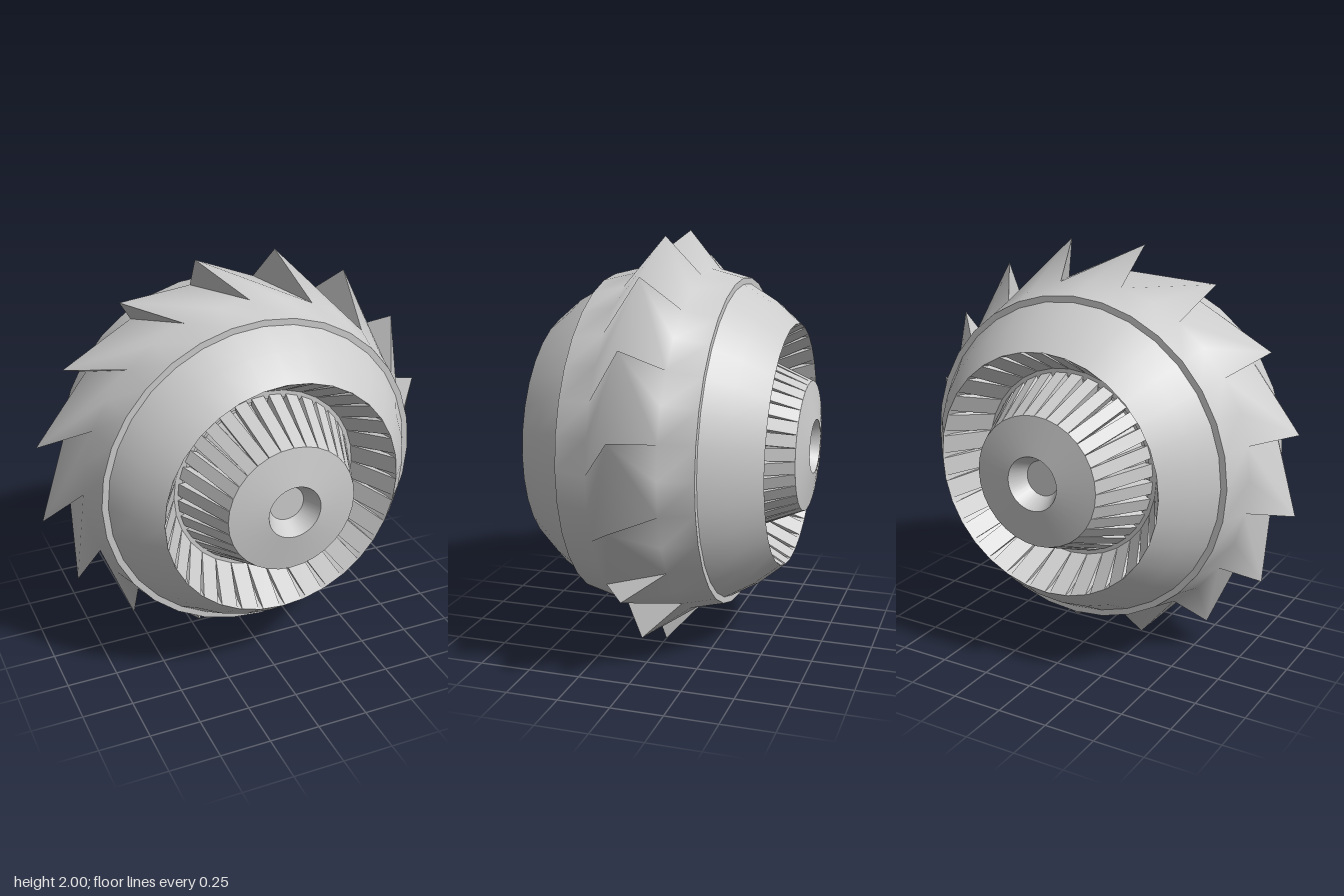
import * as THREE from 'three';
import { mergeGeometries } from 'three/addons/utils/BufferGeometryUtils.js';

const SIDES = 32;
const STEP = (Math.PI * 2) / SIDES;
const material = new THREE.MeshStandardMaterial({ color: 0xcccccc });

function addMesh(parent, name, geometry) {
  const mesh = new THREE.Mesh(geometry, material);
  mesh.name = name;
  parent.add(mesh);
}

// Surface of revolution around z from [radius, z] points
function turned(points) {
  const g = new THREE.LatheGeometry(points.map(([r, z]) => new THREE.Vector2(r, z)), SIDES);
  return g.rotateX(Math.PI / 2);
}

// A ring of flat panels, each a [radius, z] outline given a constant width
function panelRing(outline, width) {
  const shape = new THREE.Shape(outline.map(([r, z]) => new THREE.Vector2(r, z)));
  const panel = new THREE.ExtrudeGeometry(shape, { depth: width, bevelEnabled: false });
  panel.translate(0, 0, -width / 2).rotateX(Math.PI / 2);
  const all = [];
  for (let i = 0; i < SIDES; i++) all.push(panel.clone().rotateZ((i + 0.5) * STEP));
  return mergeGeometries(all);
}

const polar = (r, i, z) => [r * Math.cos(i * STEP), r * Math.sin(i * STEP), z];
const wrap = (i) => (i + SIDES) % SIDES;

// Tread: two sloping bands joined by a ring of skewed pyramid teeth
function addTread(parent) {
  const rings = [[0.795, 0.325], [0.835, 0.165], [0.835, -0.165], [0.795, -0.325]];
  const positions = [], index = [], steep = [];
  for (const [r, z] of rings)
    for (let i = 0; i < SIDES; i++) positions.push(...polar(r, i, z));
  const at = (ring, i) => ring * SIDES + wrap(i);

  for (const ring of [0, 2]) {
    for (let i = 0; i < SIDES; i++) {
      const a = at(ring, i), b = at(ring + 1, i), c = at(ring + 1, i + 1), d = at(ring, i + 1);
      index.push(a, b, c, a, c, d);
    }
  }

  for (let k = 0; k < SIDES / 2; k++) {
    const f = 2 * k, b = f + 1;
    const tip = positions.length / 3;
    positions.push(...polar(1.0196, b, 0));
    // long sides of the tooth, blending into the bands
    const base = [at(1, f), at(1, f - 1), at(1, f - 2), at(2, b - 2), at(2, b - 1), at(2, b)];
    for (let j = 0; j < 5; j++) index.push(base[j], base[j + 1], tip);
    // steep cutting face
    steep.push(...polar(0.835, b, -0.165), ...polar(0.835, f, 0.165), ...polar(1.0196, b, 0));
  }

  const tread = new THREE.BufferGeometry();
  tread.setAttribute('position', new THREE.Float32BufferAttribute(positions, 3));
  tread.setIndex(index);
  tread.computeVertexNormals();
  addMesh(parent, 'toothedTread', tread);

  const faces = new THREE.BufferGeometry();
  faces.setAttribute('position', new THREE.Float32BufferAttribute(steep, 3));
  faces.computeVertexNormals();
  addMesh(parent, 'toothFaces', faces);
}

// One side of the wheel, facing +z
function createSide() {
  const side = new THREE.Group();
  addMesh(side, 'treadStep', turned([[0.795, 0.325], [0.765, 0.325]]));
  addMesh(side, 'shoulder', turned([[0.765, 0.325], [0.69, 0.455], [0.585, 0.58]]));

  // recessed well behind the panels
  addMesh(side, 'outerWell', turned([[0.585, 0.58], [0.575, 0.52], [0.49, 0.34]]));
  addMesh(side, 'wellFloor', turned([[0.49, 0.34], [0.4, 0.34]]));
  addMesh(side, 'floorRing', turned([[0.475, 0.36], [0.425, 0.36]]));
  addMesh(side, 'hubCore', turned([[0.4, 0.34], [0.285, 0.63]]));

  // slatted cones
  addMesh(side, 'outerPanels',
    panelRing([[0.582, 0.58], [0.458, 0.36], [0.5, 0.35], [0.578, 0.52]], 0.088));
  addMesh(side, 'hubPanels',
    panelRing([[0.313, 0.66], [0.29, 0.63], [0.4, 0.35], [0.44, 0.36]], 0.06));

  // hub cap with a tapered centre hole
  addMesh(side, 'hubCapUnderside', turned([[0.285, 0.63], [0.315, 0.66]]));
  addMesh(side, 'hubCap', turned([[0.315, 0.66], [0.13, 0.69]]));
  addMesh(side, 'hubHole', turned([[0.13, 0.69], [0.085, 0.6]]));
  addMesh(side, 'hubHoleFloor', turned([[0.085, 0.6], [0, 0.6]]));
  return side;
}

export function createModel() {
  const model = new THREE.Group();
  model.name = 'toothedWheel';
  const wheel = new THREE.Group();
  wheel.name = 'wheel';
  wheel.position.y = 1;
  model.add(wheel);

  addTread(wheel);
  const front = createSide();
  front.name = 'frontSide';
  const back = createSide();
  back.name = 'backSide';
  back.rotation.y = Math.PI;
  wheel.add(front, back);
  return model;
}
